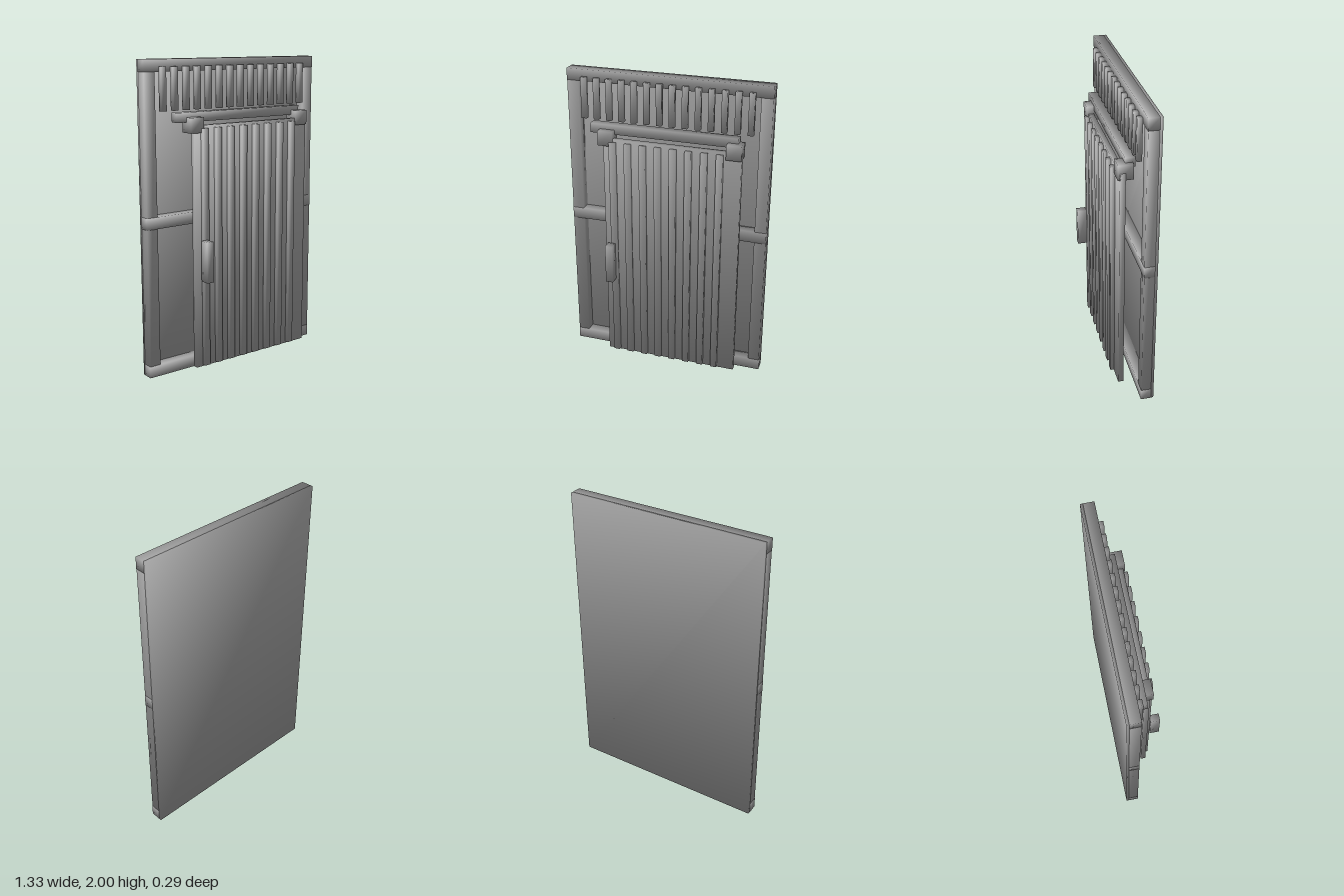
import * as THREE from 'three';

const grey = new THREE.MeshStandardMaterial({ color: 0x999999 });
grey.name = 'plain grey';

// Box between two opposite corners, with soft normals pointing out of each corner
function softBox(name, [x0, x1], [y0, y1], [z0, z1]) {
  const geometry = new THREE.BoxGeometry(x1 - x0, y1 - y0, z1 - z0);
  const { position, normal } = geometry.attributes;
  const n = new THREE.Vector3();
  for (let i = 0; i < position.count; i++) {
    n.fromBufferAttribute(position, i);
    n.set(Math.sign(n.x), Math.sign(n.y), Math.sign(n.z)).normalize();
    normal.setXYZ(i, n.x, n.y, n.z);
  }
  const mesh = new THREE.Mesh(geometry, grey);
  mesh.name = name;
  mesh.position.set((x0 + x1) / 2, (y0 + y1) / 2, (z0 + z1) / 2);
  return mesh;
}

// Row of equal upright slats spread between two centre positions
function slatRow(name, count, first, last, width, ySpan, zSpan) {
  const row = new THREE.Group();
  row.name = name + 's';
  for (let i = 0; i < count; i++) {
    const x = first + ((last - first) * i) / (count - 1);
    row.add(softBox(name, [x - width / 2, x + width / 2], ySpan, zSpan));
  }
  return row;
}

export function createModel() {
  const model = new THREE.Group();
  model.name = 'slidingDoorWall';

  // Wall: back panel with a frame of posts and rails
  const wall = new THREE.Group();
  wall.name = 'wall';
  wall.add(softBox('backPanel', [-0.665, 0.665], [0, 2], [-0.143, -0.126]));
  wall.add(softBox('rightPost', [-0.665, -0.59], [0.001, 1.999], [-0.126, -0.06]));
  wall.add(softBox('leftPost', [0.59, 0.665], [0.001, 1.999], [-0.126, -0.06]));
  const rails = { bottomRail: 0, middleRail: 0.965, topRail: 1.925 };
  for (const [name, y] of Object.entries(rails)) {
    wall.add(softBox(name, [-0.666, 0.666], [y, y + 0.075], [-0.126, -0.059]));
  }
  wall.add(slatRow('upperSlat', 14, -0.545, 0.541, 0.036, [1.69, 1.955], [-0.06, -0.03]));
  model.add(wall);

  // Track that the door hangs from
  model.add(softBox('track', [-0.485, 0.481], [1.62, 1.68], [-0.043, 0.018]));

  // Door: panel, raised slats, hangers and pull handle
  const door = new THREE.Group();
  door.name = 'door';
  door.add(softBox('doorPanel', [-0.385, 0.512], [0.04, 1.6], [0.02, 0.055]));
  door.add(slatRow('doorSlat', 8, -0.319, 0.379, 0.042, [0.05, 1.583], [0.05, 0.08]));
  door.add(softBox('rightHanger', [-0.418, -0.322], [1.555, 1.65], [-0.028, 0.066]));
  door.add(softBox('leftHanger', [0.416, 0.512], [1.555, 1.65], [-0.028, 0.066]));
  door.add(softBox('handle', [-0.36, -0.311], [0.62, 0.882], [0.08, 0.143]));
  model.add(door);

  return model;
}
